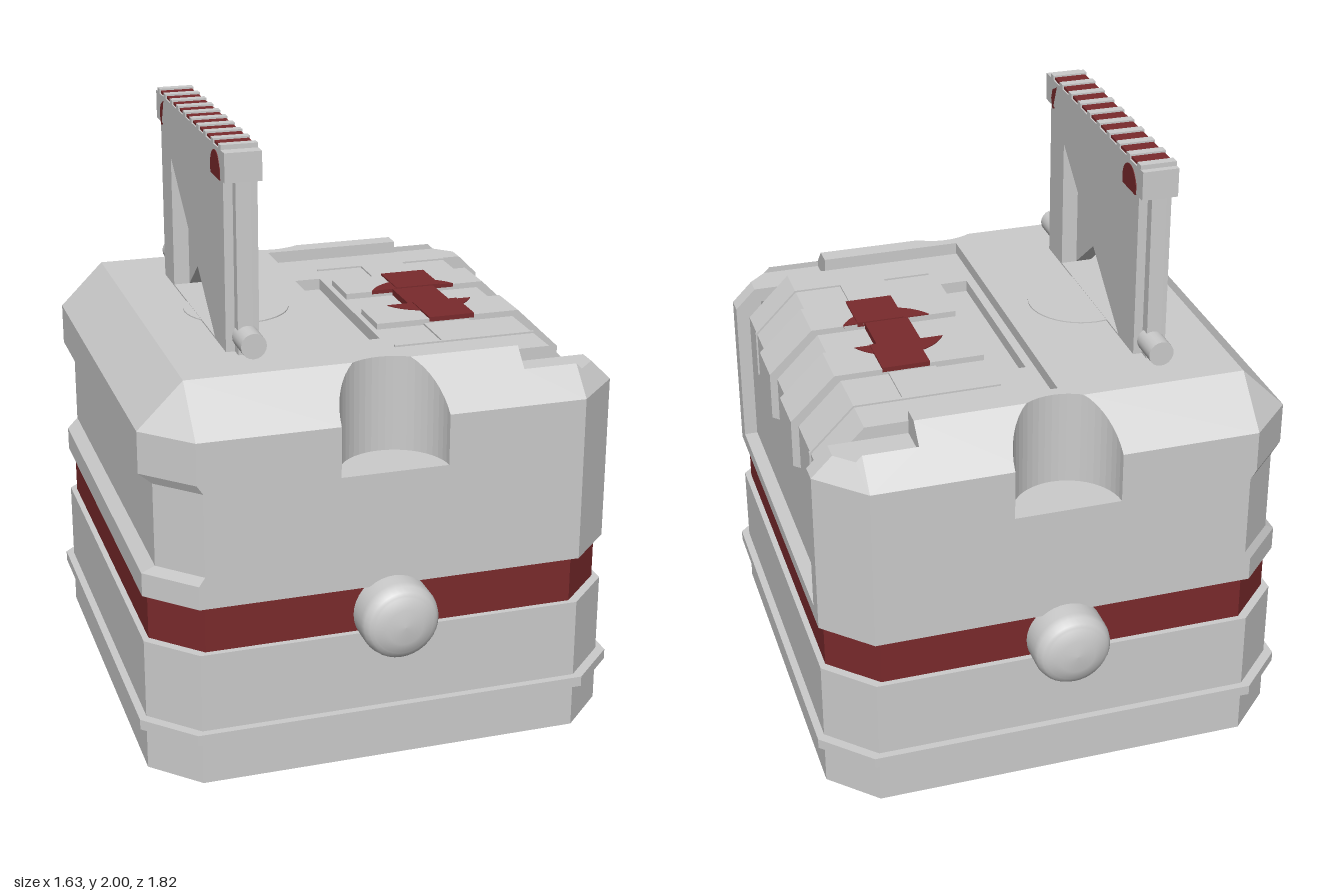
import * as THREE from 'three';

const grey = new THREE.MeshStandardMaterial({ color: 0xcccccc, flatShading: true });
const shell = new THREE.MeshStandardMaterial({ color: 0xcccccc, flatShading: true, side: THREE.DoubleSide });
const smooth = new THREE.MeshStandardMaterial({ color: 0xcccccc });
const red = new THREE.MeshStandardMaterial({ color: 0x7a2a2c });

const shapeOf = pts => new THREE.Shape(pts.map(p => new THREE.Vector2(p[0], p[1])));
const slab = (shape, depth) => new THREE.ExtrudeGeometry(shape, { depth, bevelEnabled: false, curveSegments: 20 });
const alongZ = (pts, z0, z1) => slab(shapeOf(pts), z1 - z0).translate(0, 0, z0);
const alongY = (shape, y0, y1) => slab(shape, y1 - y0).rotateX(-Math.PI / 2).translate(0, y0, 0);
// Shape drawn in (z, y), thickness along x
const alongX = (shape, x0, x1) => slab(shape, x1 - x0).rotateY(-Math.PI / 2).translate(x1, 0, 0);
const box = (x0, x1, y0, y1, z0, z1) =>
  new THREE.BoxGeometry(x1 - x0, y1 - y0, z1 - z0).translate((x0 + x1) / 2, (y0 + y1) / 2, (z0 + z1) / 2);

// Square with cut corners
function octagon(h, c = 0.15) {
  const k = h - c;
  return shapeOf([[k, -h], [h, -k], [h, k], [k, h], [-k, h], [-h, k], [-h, -k], [-k, -h]]);
}

// Collects flat polygons, each turned away from the middle of the body
class Faces {
  constructor() { this.pos = []; }
  add(pts) {
    const v = pts.map(p => new THREE.Vector3(...p));
    const n = new THREE.Vector3(), mid = new THREE.Vector3();
    v.forEach((a, i) => {
      n.add(new THREE.Vector3().crossVectors(a, v[(i + 1) % v.length]));
      mid.addScaledVector(a, 1 / v.length);
    });
    mid.y -= 0.9;
    const ax = Math.abs(n.x), ay = Math.abs(n.y), az = Math.abs(n.z);
    const flat = v.map(p => ax >= ay && ax >= az ? new THREE.Vector2(p.y, p.z)
      : ay >= az ? new THREE.Vector2(p.z, p.x) : new THREE.Vector2(p.x, p.y));
    const out = n.dot(mid) < 0 ? n.negate() : n;
    for (const [a, b, c] of THREE.ShapeUtils.triangulateShape(flat, [])) {
      const t = new THREE.Vector3().crossVectors(v[b].clone().sub(v[a]), v[c].clone().sub(v[a]));
      const tri = t.dot(out) > 0 ? [a, b, c] : [a, c, b];
      tri.forEach(i => this.pos.push(...v[i].toArray()));
    }
  }
  both(pts) {
    this.add(pts);
    this.add(pts.map(([x, y, z]) => [x, y, -z]));
  }
  geometry() {
    const g = new THREE.BufferGeometry();
    g.setAttribute('position', new THREE.Float32BufferAttribute(this.pos, 3));
    g.computeVertexNormals();
    return g;
  }
}

function upperBody() {
  const f = new Faces(), R = 0.178;
  const height = (x, z) => {
    const a = Math.abs(x), b = Math.abs(z);
    return 1.33 - Math.max(0, a - 0.64, b - 0.64, a + b - 1.28);
  };
  const top = list => list.map(([x, z]) => [x, height(x, z), z]);
  const arc = (a, b, n = 8) => Array.from({ length: n + 1 }, (_, i) => {
    const t = a + (b - a) * i / n;
    return [R * Math.cos(t), 0.79 - R * Math.sin(t)];
  });
  const t = Math.asin(0.15 / R), u = Math.PI - t;

  // Flat top with the hatch opening and the scoops cut from its outline
  const edge = [[-0.03, 0.575], [0.46, 0.575], [0.46, 0.64], ...arc(t, u), [-0.64, 0.64]];
  f.add(top([...edge, ...edge.map(([x, z]) => [x, -z]).reverse()]));
  // Sloped shoulders
  f.both(top([[-0.64, 0.64], [-0.64, 0.79], ...arc(Math.PI, u)]));
  f.both(top([...arc(t, 0), [0.64, 0.79], [0.64, 0.7], [0.46, 0.7], [0.46, 0.64]]));
  f.both(top([[-0.64, 0.64], [-0.64, 0.79], [-0.79, 0.64]]));
  f.both(top([[0.64, 0.79], [0.79, 0.64], [0.72, 0.64], [0.66, 0.7], [0.64, 0.7]]));
  f.both(top([[0.79, 0.64], [0.79, 0.575], [0.72, 0.575], [0.72, 0.64]]));
  f.add(top([[-0.64, 0.64], [-0.64, -0.64], [-0.79, -0.64], [-0.79, 0.64]]));
  // Steps beside the hatch
  f.both([[0.46, 0.575], [0.72, 0.575], [0.72, 0.64], [0.66, 0.7], [0.46, 0.7]].map(([x, z]) => [x, 1.25, z]));
  f.both([[0.46, 1.25, 0.575], [0.46, 1.33, 0.575], [0.46, 1.33, 0.64], [0.46, 1.27, 0.7], [0.46, 1.25, 0.7]]);
  f.both([[0.46, 1.25, 0.7], [0.46, 1.27, 0.7], [0.64, 1.27, 0.7], [0.66, 1.25, 0.7]]);
  // Hatch opening
  f.both([[-0.03, 1.33], [0.46, 1.33], [0.46, 1.25], [0.72, 1.25], [0.79, 1.18], [0.79, 0.665],
    [0.7, 0.665], [0.7, 1.2], [-0.03, 1.2]].map(([x, y]) => [x, y, 0.575]));
  f.add([[-0.03, 1.2, 0.575], [-0.03, 1.33, 0.575], [-0.03, 1.33, -0.575], [-0.03, 1.2, -0.575]]);
  f.add([[0.7, 0.665, 0.575], [0.79, 0.665, 0.575], [0.79, 0.665, -0.575], [0.7, 0.665, -0.575]]);
  // Scoop walls and floors
  const rim = arc(0, Math.PI, 24);
  for (let i = 0; i < 24; i++) {
    const [[x0, z0], [x1, z1]] = [rim[i], rim[i + 1]];
    f.both([[x0, 1.01, z0], [x1, 1.01, z1], [x1, height(x1, z1), z1], [x0, height(x0, z0), z0]]);
  }
  f.both(rim.map(([x, z]) => [x, 1.01, z]));
  // Front and back walls
  f.both([[-0.64, 0.62], [0.64, 0.62], [0.64, 1.18], [R, 1.18], [R, 1.01], [-R, 1.01], [-R, 1.18],
    [-0.64, 1.18], [-0.64, 1.04], [-0.62, 1.01], [-0.62, 0.73], [-0.64, 0.7]].map(([x, y]) => [x, y, 0.79]));
  // Hatch side wall and its corners
  f.both([[0.64, 0.62, 0.79], [0.79, 0.62, 0.64], [0.79, 1.18, 0.64], [0.64, 1.18, 0.79]]);
  f.add([[0.64, 0.62], [0.64, 1.18], [0.575, 1.18], [0.575, 0.665], [-0.575, 0.665], [-0.575, 1.18],
    [-0.64, 1.18], [-0.64, 0.62]].map(([z, y]) => [0.79, y, z]));
  // Opposite wall with its long grip recess
  const outer = [[-0.64, 0.79], [-0.79, 0.64], [-0.79, -0.64], [-0.64, -0.79]];
  const inner = [[-0.62, 0.79], [-0.75, 0.66], [-0.75, -0.66], [-0.62, -0.79]];
  const levels = [[0.62, outer], [0.7, outer], [0.73, inner], [1.01, inner], [1.04, outer], [1.18, outer]];
  for (let k = 0; k < 5; k++) for (let i = 0; i < 3; i++) {
    const [ya, a] = levels[k], [yb, b] = levels[k + 1];
    const quad = [[a[i], ya], [a[i + 1], ya], [b[i + 1], yb], [b[i], yb]];
    const p = quad.map(([[x, z], y]) => [x, y, z]);
    f.add([p[0], p[1], p[2]]);
    f.add([p[0], p[2], p[3]]);
  }
  // Underside
  f.add(octagon(0.79).getPoints().map(p => [p.x, 0.62, p.y]));
  return f.geometry();
}

export function createModel() {
  const model = new THREE.Group();
  const add = (name, geometry, material = grey, parent = model) => {
    const m = new THREE.Mesh(geometry, material);
    m.name = name;
    parent.add(m);
    return m;
  };
  const group = name => {
    const g = new THREE.Group();
    g.name = name;
    model.add(g);
    return g;
  };

  add('base', alongY(octagon(0.79), 0, 0.46));
  add('baseLedge', alongY(octagon(0.815, 0.155), 0.155, 0.19));
  add('band', alongY(octagon(0.77), 0.46, 0.62), red);
  add('upperBody', upperBody(), shell);
  add('topDisc', new THREE.CylinderGeometry(0.178, 0.178, 0.01, 40).translate(-0.305, 1.329, 0));

  // Hatch wrapping from the top down the side, with a slot in the middle part
  const hatch = group('hatch');
  const fall = [[0.6, 1.29], [0.745, 1.145], [0.745, 0.67], [-0.03, 0.67], [-0.03, 1.29]];
  const slot = [[0, 1.29], [0, 1.25], [0.095, 1.25], [0.095, 1.29]];
  add('hatchMiddle', alongZ([...fall, ...slot], -0.34, 0.34), grey, hatch);
  const bracket = [[0.115, 1.25], [0.115, 1.31], [0.62, 1.31], [0.77, 1.165], [0.77, 1], [0.74, 0.985], [0.7, 0.985], [0.7, 1.1], [0.55, 1.25]];
  const rib = [[0.115, 1.27], [0.115, 1.296], [0.603, 1.296], [0.751, 1.148], [0.751, 0.985], [0.72, 0.985], [0.72, 1.13], [0.58, 1.27]];
  for (const s of [1, -1]) {
    const span = (pts, a, b) => s > 0 ? alongZ(pts, a, b) : alongZ(pts, -b, -a);
    add('hatchEnd', span(fall, 0.34, 0.57), grey, hatch);
    add('hatchBracket', span(bracket, 0.083, 0.253), grey, hatch);
    add('hatchRib', span(rib, 0.427, 0.437), grey, hatch);
    add('hatchPad', box(0.28, 0.44, 1.27, 1.296, s > 0 ? 0.25 : -0.43, s > 0 ? 0.43 : -0.25), grey, hatch);
    // Red disc segment on each bracket
    const a = Math.asin(0.083 / 0.172);
    const seg = new THREE.Shape().absarc(0.36, 0, 0.172, s > 0 ? a : Math.PI + a, s > 0 ? Math.PI - a : 2 * Math.PI - a, false);
    add('discSegment', alongY(seg, 1.3, 1.313), red, hatch);
    add('strapEnd', box(0.3, 0.46, 1.3, 1.316, s > 0 ? 0.083 : -0.255, s > 0 ? 0.255 : -0.083), red, hatch);
  }
  add('strapMiddle', box(0.285, 0.435, 1.28, 1.312, -0.083, 0.083), red, hatch);

  // Upright board: two layers whose triangular openings mirror each other
  const board = group('uprightBoard');
  for (const s of [1, -1]) {
    const plate = shapeOf([[-0.43, 1.33], [0.43, 1.33], [0.43, 1.9], [-0.43, 1.9]]);
    plate.holes.push(new THREE.Path([[0.29, 1.335], [0.29, 1.79], [-0.29, 1.335]].map(([z, y]) => new THREE.Vector2(s * z, y))));
    add('boardLayer', alongX(plate, s > 0 ? -0.395 : -0.45, s > 0 ? -0.34 : -0.395), grey, board);
    add('boardRail', alongX(shapeOf([[s * 0.42, 1.33], [s * 0.47, 1.33], [s * 0.465, 1.89], [s * 0.42, 1.89]]), -0.42, -0.37), grey, board);
    const pin = new THREE.CylinderGeometry(0.042, 0.042, 0.11, 20).rotateX(Math.PI / 2);
    add('boardPin', pin.translate(-0.39, 1.383, s * 0.495), smooth, board);
    // Red marks on both faces of the head
    const dot = new THREE.Shape().absarc(-s * 0.357, 1.91, 0.06, -0.4, Math.PI + 0.4, false);
    const chip = shapeOf([[s * 0.36, 1.97], [s * 0.4, 1.95], [s * 0.412, 1.915], [s * 0.398, 1.88]]);
    const [x0, x1] = s > 0 ? [-0.34, -0.333] : [-0.457, -0.45];
    add('headDot', alongX(dot, x0, x1), red, board);
    add('headChip', alongX(chip, x0, x1), red, board);
  }
  add('boardHead', box(-0.455, -0.335, 1.89, 1.985, -0.47, 0.47), grey, board);
  for (let i = 0; i < 9; i++) {
    const z = -0.385 + i * 0.0935;
    add('redTooth', box(-0.45, -0.34, 1.98, 1.994, z - 0.031, z + 0.031), red, board);
  }
  for (let i = 0; i < 10; i++) {
    const z = -0.432 + i * 0.0935;
    add('greyTooth', box(-0.455, -0.335, 1.98, 2, z - 0.0155, z + 0.0155), grey, board);
  }

  // Round knobs, front and back
  const profile = [[0.13, 0], [0.13, 0.08], [0.125, 0.1], [0.112, 0.118], [0.1, 0.12], [0.095, 0.126], [0.06, 0.14], [0, 0.144]];
  for (const s of [1, -1]) {
    const knob = new THREE.LatheGeometry(profile.map(p => new THREE.Vector2(...p)), 36);
    knob.rotateX(s * Math.PI / 2).translate(0, 0.52, s * 0.765);
    add(s > 0 ? 'frontKnob' : 'backKnob', knob, smooth);
  }
  return model;
}
